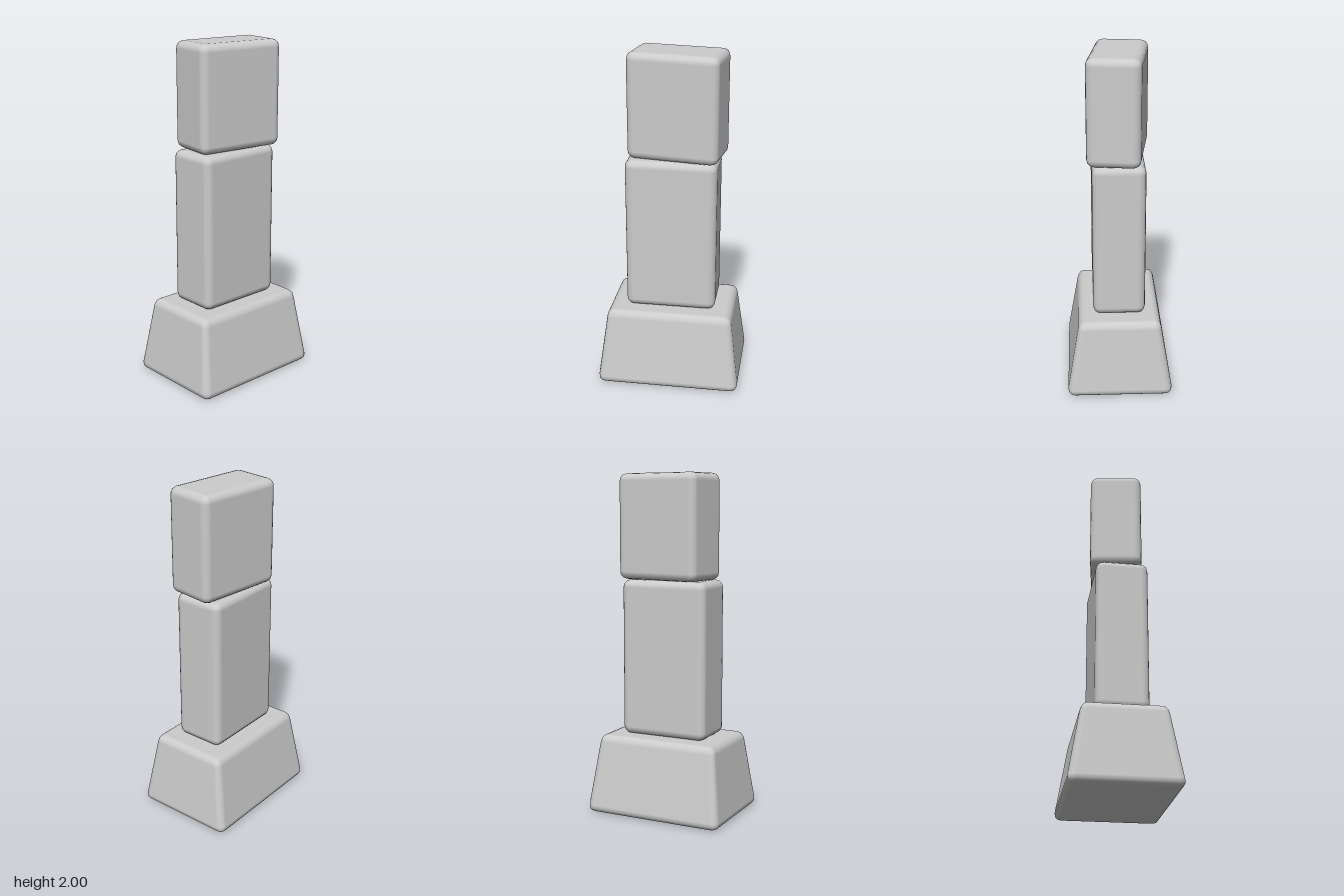
import * as THREE from 'three';
import { RoundedBoxGeometry } from 'three/addons/geometries/RoundedBoxGeometry.js';

const RADIUS = 0.045;

// Narrow a block linearly from full size at its lower rim to (kx, kz) at its upper rim.
function taper(geometry, height, kx, kz) {
  const pos = geometry.attributes.position;
  const nor = geometry.attributes.normal;
  const low = -height / 2 + RADIUS;
  const span = height - 2 * RADIUS;
  const gx = (kx - 1) / span;
  const gz = (kz - 1) / span;
  const n = new THREE.Vector3();
  for (let i = 0; i < pos.count; i++) {
    const x = pos.getX(i), y = pos.getY(i), z = pos.getZ(i);
    const sx = 1 + gx * (y - low);
    const sz = 1 + gz * (y - low);
    pos.setXYZ(i, x * sx, y, z * sz);
    // tilt the normals with the sloping sides
    n.fromBufferAttribute(nor, i);
    n.set(n.x / sx, n.y - (x * gx * n.x) / sx - (z * gz * n.z) / sz, n.z / sz).normalize();
    nor.setXYZ(i, n.x, n.y, n.z);
  }
  return geometry;
}

export function createModel() {
  const group = new THREE.Group();
  group.name = 'stackedBlocks';
  const material = new THREE.MeshStandardMaterial({ color: 0xcccccc });

  // Softly rounded block resting between two heights
  function addBlock(name, width, depth, bottom, top, x = 0, turn = 0, narrowing = null) {
    const height = top - bottom;
    const geometry = new RoundedBoxGeometry(width, height, depth, 2, RADIUS);
    if (narrowing) taper(geometry, height, ...narrowing);
    const mesh = new THREE.Mesh(geometry, material);
    mesh.name = name;
    mesh.position.set(x, (bottom + top) / 2, 0);
    mesh.rotation.y = turn;
    group.add(mesh);
  }

  addBlock('taperedBase', 0.844, 0.614, 0, 0.465, 0, 0, [0.885, 0.795]);
  addBlock('middleBlock', 0.534, 0.306, 0.465, 1.385, -0.002);
  addBlock('turnedTopBlock', 0.536, 0.306, 1.385, 2, 0.024, -0.14);

  return group;
}
